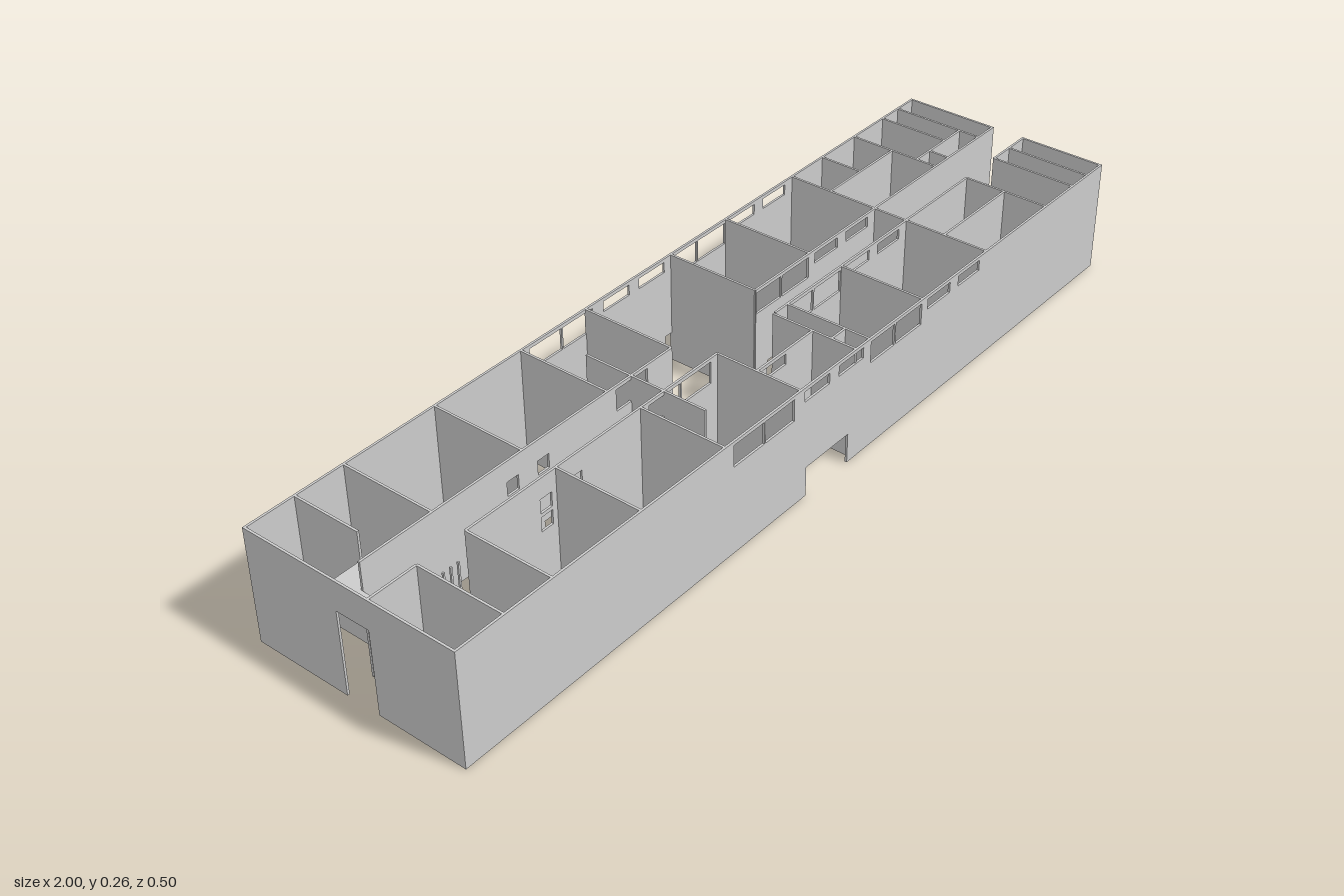
import * as THREE from 'three';

const H = 0.257, T = 0.005, DOOR = 0.068;
const BACK = -0.248, FRONT = 0.248, CB = -0.03, CF = 0.05; // outer and corridor wall lines
const mat = new THREE.MeshStandardMaterial({ color: 0xcccccc, side: THREE.DoubleSide });

// Upright wall from a to b; doors cut the bottom edge, windows are inner holes
function wall(a, b, doors = [], windows = [], y0 = 0, y1 = H) {
  const s = new THREE.Shape();
  s.moveTo(a, y0);
  for (const [l, r, h] of doors) {
    if (l <= a || r >= b) continue;
    s.lineTo(l, y0); s.lineTo(l, h); s.lineTo(r, h); s.lineTo(r, y0);
  }
  s.lineTo(b, y0); s.lineTo(b, y1); s.lineTo(a, y1); s.closePath();
  for (const [l, r, lo, hi] of windows) {
    if (l <= a || r >= b) continue;
    const p = new THREE.Path();
    p.moveTo(l, lo); p.lineTo(l, hi); p.lineTo(r, hi); p.lineTo(r, lo); p.closePath();
    s.holes.push(p);
  }
  return new THREE.ExtrudeGeometry(s, { depth: T, bevelEnabled: false }).translate(0, 0, -T / 2);
}

export function createModel() {
  const model = new THREE.Group();
  const add = (name, geo) => {
    const m = new THREE.Mesh(geo, mat);
    m.name = name;
    model.add(m);
  };
  const alongX = (name, z, a, b, ...cuts) => add(name, wall(a, b, ...cuts).translate(0, 0, z));
  // Turned so that the wall's own length runs along +z
  const alongZ = (name, x, a, b, ...cuts) => add(name, wall(-b, -a, ...cuts).rotateY(Math.PI / 2).translate(x, 0, 0));
  const box = (name, x0, x1, y0, y1, z0, z1) => add(name,
    new THREE.BoxGeometry(x1 - x0, y1 - y0, z1 - z0).translate((x0 + x1) / 2, (y0 + y1) / 2, (z0 + z1) / 2));

  // High windows, lined up through the outer and corridor walls
  const high = [
    [-0.293, -0.203, 0.2, 0.249], [-0.199, -0.112, 0.2, 0.249],
    [-0.08, -0.002, 0.225, 0.249], [0.028, 0.107, 0.225, 0.249],
    [0.132, 0.212, 0.2, 0.249], [0.216, 0.305, 0.2, 0.249],
    [0.326, 0.405, 0.225, 0.249], [0.435, 0.512, 0.225, 0.249],
  ];
  const sidelights = [[-0.128, -0.107, 0.012, DOOR], [0.107, 0.128, 0.012, DOOR]];

  // Outer walls
  alongX('frontWall', FRONT, -1, 1, [[-0.07, 0.065, DOOR]], high);
  alongX('backWall', BACK, -1, 1, [[-0.07, 0.065, DOOR]], [...high, ...sidelights]);
  alongZ('leftEndWallBack', 1 - T / 2, BACK, CB);
  alongZ('leftEndWallFront', 1 - T / 2, CF, FRONT);
  alongZ('rightEndWall', -1 + T / 2, BACK, FRONT, [[-CF, -CB, 0.19]]);

  // Corridor walls with room doors and small stacked windows
  const roomDoors = [-0.72, -0.5, -0.27, 0.17, 0.36, 0.6].map(x => [x, x + 0.04, DOOR]);
  const stacked = [-0.59, -0.51].flatMap(x => [[x, x + 0.03, 0.14, 0.172], [x, x + 0.03, 0.18, 0.212]]);
  const openings = [...high, ...stacked];
  alongX('corridorBackWall', CB, -0.94, -0.13, roomDoors, openings);
  alongX('corridorBackWall', CB, 0.13, 1, roomDoors, openings);
  for (const [a, b] of [[-1, -0.885], [-0.77, -0.09], [0.09, 0.77], [0.88, 1]])
    alongX('corridorFrontWall', CF, a, b, roomDoors, openings);

  // Partitions between the rooms
  for (const x of [-0.77, -0.545, -0.315, -0.13, 0.13, 0.31, 0.54, 0.77, 0.88, 0.94])
    alongZ('backPartition', x, BACK, x === 0.88 ? -0.08 : CB);
  alongZ('backPartition', -0.885, BACK, -0.09);
  alongZ('backPartition', 0.65, BACK, -0.145);
  alongZ('backPartition', 0.82, -0.08, CB);
  for (const x of [-0.885, -0.77, -0.545, -0.315, -0.09, 0.085, 0.13, 0.31, 0.54, 0.77, 0.88, 0.94])
    alongZ('frontPartition', x, CF, FRONT);
  alongX('backRoomDivider', -0.145, 0.54, 0.77);
  alongX('backRoomDivider', -0.08, 0.77, 0.94);
  alongX('frontRoomDivider', 0.145, 0.54, 0.77);
  alongX('sideClosetDivider', 0.19, 0.085, 0.13);
  alongX('vestibuleWall', 0.145, -0.09, 0.085, [[-0.07, 0.065, DOOR]], high);

  // Corridor crossing with its doorway, and the hanging cross panel
  alongZ('corridorDoorWall', 0.54, CB, CF, [[-0.035, 0.012, DOOR]]);
  alongZ('hangingPanel', -0.248, -0.14, 0.15, [], [], 0.15, H);

  // Landing plates at the right end
  box('landing', -1, -0.94, 0.19, 0.194, CB, CF);
  box('landing', -1, -0.84, 0.19, 0.194, -0.09, CB);

  // Railing posts at the two stair openings
  for (const x0 of [-0.865, 0.785])
    for (let i = 0; i < 5; i++) {
      const x = x0 + i * 0.018;
      box('stairPost', x, x + 0.004, 0, 0.2, CF - 0.004, CF);
    }

  // Back entrance surround, desk and door leaf
  for (const x of [-0.075, 0.065]) box('entranceJamb', x, x + 0.005, 0, 0.075, BACK - 0.004, BACK);
  box('entranceHead', -0.075, 0.07, DOOR, 0.075, BACK - 0.004, BACK);
  box('lobbyDesk', -0.06, -0.038, 0.006, 0.026, -0.243, -0.235);
  box('doorPost', 0.019, 0.022, 0, DOOR, CF - 0.002, CF + 0.002);
  return model;
}
